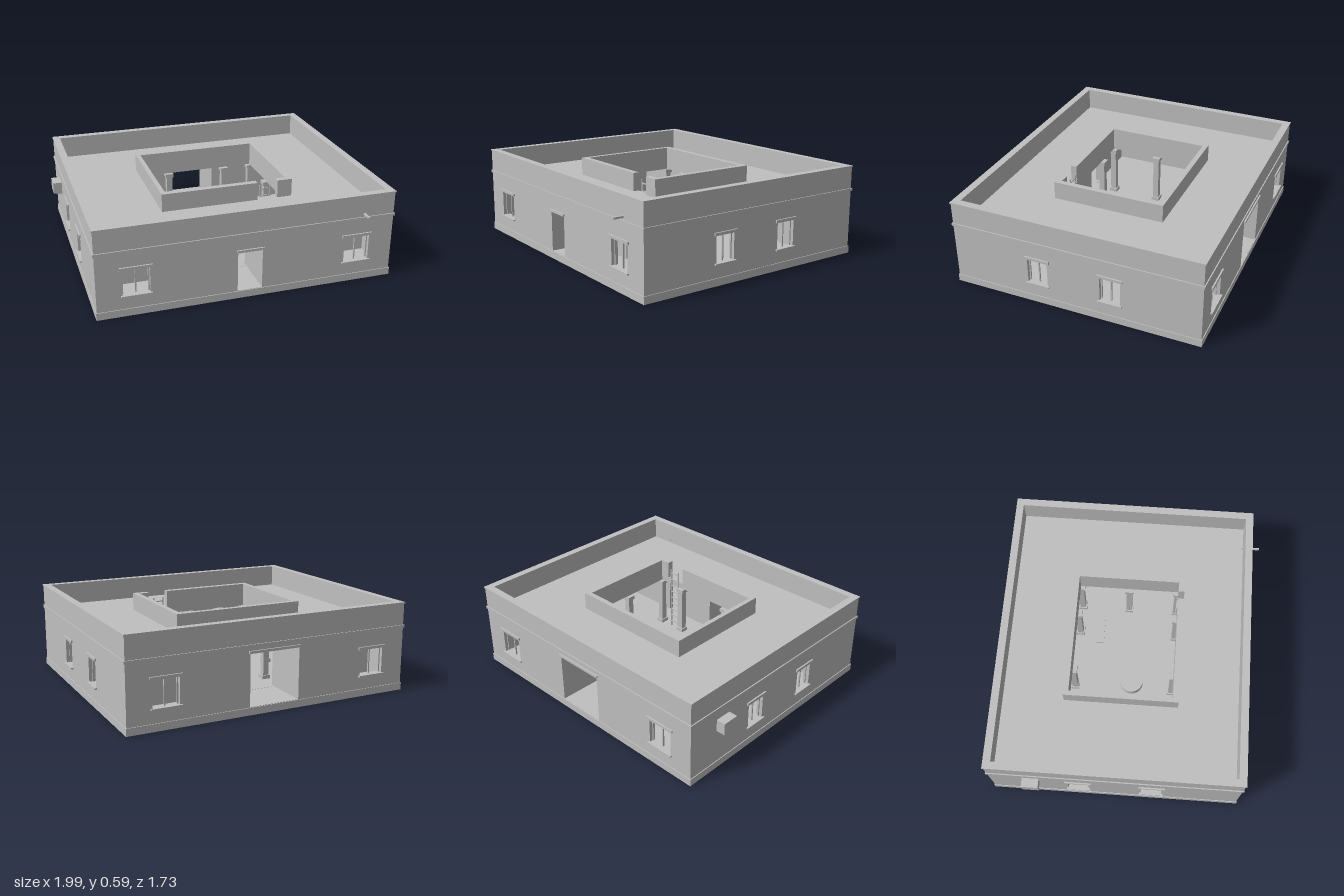
import * as THREE from 'three';

export function createModel() {
  const model = new THREE.Group();
  model.name = 'courtyardHouse';
  const plaster = new THREE.MeshStandardMaterial({ color: 0xbfbfbf });
  plaster.name = 'plaster grey';

  const CX = 0.02, CZ = -0.03, HX = 0.96, HZ = 0.825;
  const T = 0.045, FLOOR = 0.05, CEIL = 0.4, ROOF = 0.44, TOP = 0.59;

  const add = (name, geo, parent = model) => {
    const mesh = new THREE.Mesh(geo, plaster);
    mesh.name = name;
    parent.add(mesh);
    return mesh;
  };
  // box given by its limits on each axis
  const box = (name, x0, x1, y0, y1, z0, z1, parent = model) => {
    const mesh = add(name, new THREE.BoxGeometry(x1 - x0, y1 - y0, z1 - z0), parent);
    mesh.position.set((x0 + x1) / 2, (y0 + y1) / 2, (z0 + z1) / 2);
    return mesh;
  };
  const rect = (target, x0, x1, y0, y1) => {
    target.moveTo(x0, y0);
    target.lineTo(x1, y0);
    target.lineTo(x1, y1);
    target.lineTo(x0, y1);
    target.closePath();
    return target;
  };
  // upright panel with rectangular holes, [x0, x1, y0, y1] each
  const panel = (x0, x1, y0, y1, holes, depth) => {
    const shape = rect(new THREE.Shape(), x0, x1, y0, y1);
    holes.forEach(h => shape.holes.push(rect(new THREE.Path(), ...h)));
    return new THREE.ExtrudeGeometry(shape, { depth, bevelEnabled: false });
  };
  // flat rectangular ring, limits as [x0, x1, z0, z1]
  const ring = (name, outer, inner, y0, y1) => {
    const flip = ([a, b, c, d]) => [a, b, -d, -c];
    const geo = panel(...flip(outer), [flip(inner)], y1 - y0);
    geo.rotateX(-Math.PI / 2);
    add(name, geo).position.y = y0;
  };
  const around = d => [CX - HX - d, CX + HX + d, CZ - HZ - d, CZ + HZ + d];

  // one outer wall with its windows, sills, lintels and optional door
  const facade = (name, x, z, turn, half, windowAt, door) => {
    const g = new THREE.Group();
    g.name = name;
    g.position.set(x, 0, z);
    g.rotation.y = turn;
    model.add(g);
    const w = windowAt > 0.5 ? 0.085 : 0.0675, y0 = 0.14, y1 = 0.31;
    const holes = [];
    for (const u of [-windowAt, windowAt]) {
      holes.push([u - w, u + w, y0, y1]);
      box('windowSill', u - w - 0.012, u + w + 0.012, y0 - 0.01, y0, -T, 0.014, g);
      box('windowLintel', u - w - 0.018, u + w + 0.018, y1, y1 + 0.018, -0.01, 0.01, g);
      for (const [a, b] of [[-w, -w + 0.008], [-0.004, 0.004], [w - 0.008, w]])
        box('windowBar', u + a, u + b, y0, y1, -0.032, -0.022, g);
    }
    if (door) {
      const [d, top] = door;
      holes.push([-d, d, FLOOR, top]);
      box('doorLintel', -d - 0.01, d + 0.01, top, top + 0.016, -0.01, 0.01, g);
    }
    add('wall', panel(-half, half, 0.002, TOP - 0.008, holes, T), g).position.z = -T;
  };
  facade('frontWall', CX, CZ + HZ, 0, HX, 0.715, [0.08, 0.315]);
  facade('backWall', CX, CZ - HZ, Math.PI, HX, 0.715, [0.17, 0.385]);
  facade('rightWall', CX + HX, CZ, Math.PI / 2, HZ - T, 0.243);
  facade('leftWall', CX - HX, CZ, -Math.PI / 2, HZ - T, 0.243);

  // floor, plinth, band and coping
  box('floor', CX - HX, CX + HX, 0, FLOOR, CZ - HZ, CZ + HZ);
  ring('plinth', around(0.005), around(-0.01), 0, FLOOR - 0.002);
  ring('band', around(0.007), around(-0.01), 0.422, 0.44);
  ring('coping', around(0.005), around(-T), TOP - 0.008, TOP);

  // roof with the courtyard opening
  const yard = [-0.39, 0.43, -0.37, 0.31];
  ring('roof', around(-T), yard, CEIL, ROOF);

  // low courtyard parapet with a gap for the ladder
  const P = 0.56;
  box('yardParapetBack', -0.42, 0.465, ROOF, P, -0.405, -0.37);
  box('yardParapetLeft', -0.42, -0.39, ROOF, P, -0.37, 0.31);
  box('yardParapetRight', 0.43, 0.465, ROOF, P, -0.37, 0.31);
  box('yardParapetFront', -0.42, 0.225, ROOF, P, 0.31, 0.35);
  box('yardParapetFront', 0.365, 0.465, ROOF, P, 0.31, 0.35);

  // gallery posts with base and capital
  const post = (x, z) => {
    const g = new THREE.Group();
    g.name = 'galleryPost';
    g.position.set(x, 0, z);
    model.add(g);
    box('shaft', -0.02, 0.02, FLOOR, CEIL, -0.02, 0.02, g);
    box('base', -0.028, 0.028, FLOOR, FLOOR + 0.025, -0.028, 0.028, g);
    box('capital', -0.028, 0.028, CEIL - 0.025, CEIL, -0.028, 0.028, g);
  };
  for (const x of [-0.39, -0.187, 0.227, 0.43])
    for (const z of [-0.37, 0.31]) post(x, z);
  for (const x of [-0.39, 0.43]) post(x, -0.03);

  // room partitions and the passages behind both doors
  for (const [side, half] of [[1, 0.08], [-1, 0.17]]) {
    const inner = CZ + side * 0.52, outer = CZ + side * (HZ - T);
    const holes = [[-half, half, FLOOR + 0.001, 0.385], [-0.49, -0.35, FLOOR + 0.001, 0.3],
      [0.35, 0.49, FLOOR + 0.001, 0.3]];
    add('roomPartition', panel(-HX + T, HX - T, FLOOR - 0.01, CEIL, holes, 0.03))
      .position.set(CX, 0, inner - 0.015);
    for (const s of [-1, 1]) {
      const a = CX + s * half, b = CX + s * (half + 0.03);
      box('passageWall', Math.min(a, b), Math.max(a, b), FLOOR, CEIL,
        Math.min(inner, outer), Math.max(inner, outer));
    }
  }

  // round planter and bench in the courtyard
  add('planter', new THREE.CylinderGeometry(0.08, 0.08, 0.05, 32))
    .position.set(-0.145, FLOOR + 0.025, 0.025);
  box('benchSeat', 0.13, 0.35, 0.09, 0.102, -0.25, -0.195);
  for (const x of [0.145, 0.32]) box('benchLeg', x, x + 0.015, FLOOR, 0.09, -0.245, -0.2);

  // ladder to the roof
  for (const x of [0.255, 0.325]) box('ladderRail', x, x + 0.008, FLOOR, 0.52, 0.3, 0.308);
  for (let i = 0; i < 9; i++) {
    const y = 0.09 + i * 0.05;
    box('ladderRung', 0.263, 0.325, y, y + 0.007, 0.301, 0.307);
  }

  // roof spout and wall-hung cooling unit
  box('roofSpout', 0.769, 0.781, 0.453, 0.465, 0.74, 0.86);
  box('coolingUnit', -1, -0.94, 0.277, 0.357, -0.635, -0.525);
  box('unitBracket', -0.98, -0.94, 0.268, 0.277, -0.625, -0.535);

  return model;
}
